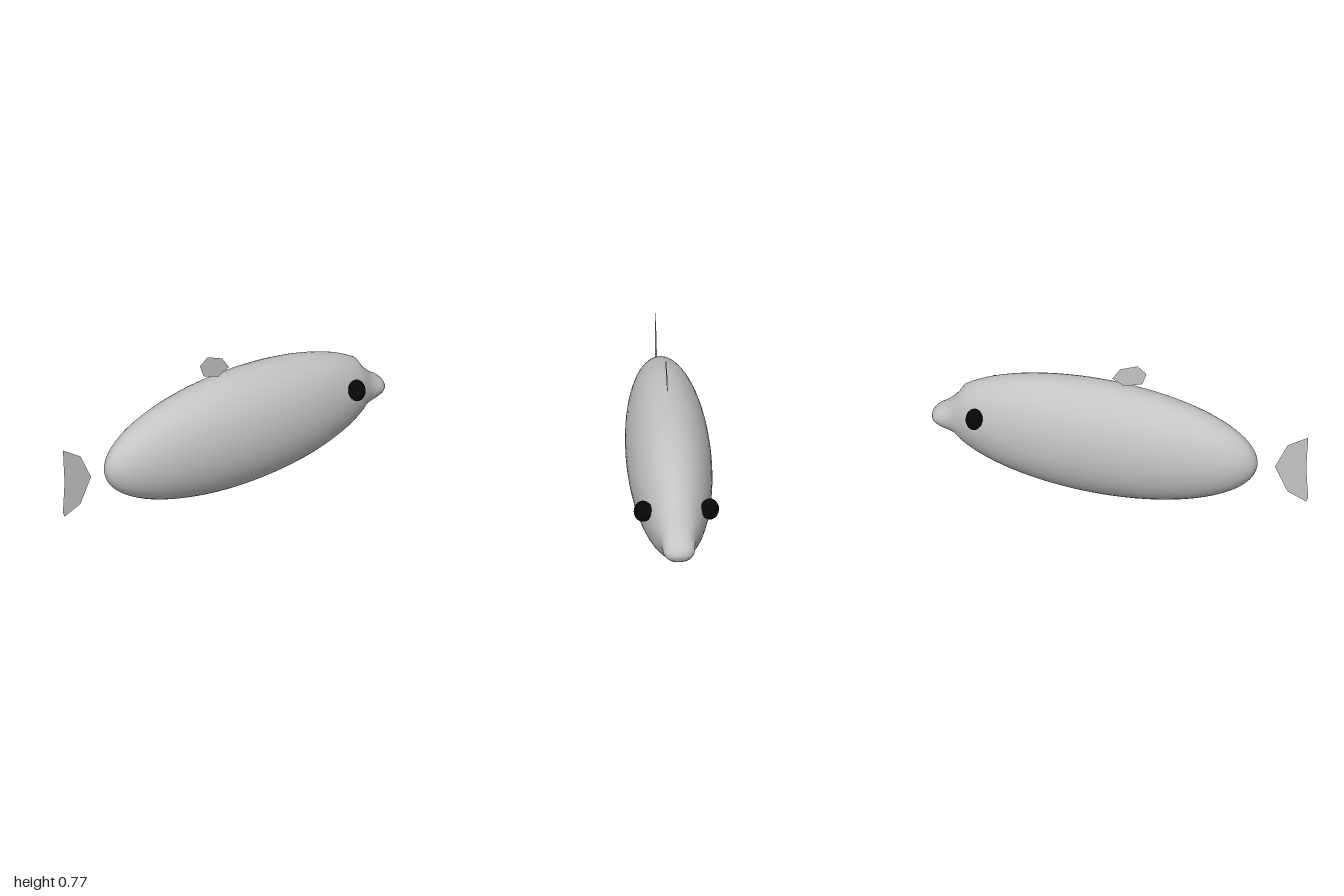
import * as THREE from 'three';

const skin = new THREE.MeshStandardMaterial({ color: 0xc4c4c4, side: THREE.DoubleSide });
skin.name = 'grey skin';
const black = new THREE.MeshStandardMaterial({ color: 0x080808 });
black.name = 'black';

// Smooth loft through elliptical rings [z, centreY, radiusY, radiusX], from tail to snout
function loft(rings, sides) {
  const pos = [], index = [];
  rings.forEach(([z, cy, ry, rx], i) => {
    for (let j = 0; j < sides; j++) {
      const a = (j / sides) * Math.PI * 2;
      pos.push(Math.cos(a) * rx, cy + Math.sin(a) * ry, z);
      if (i === rings.length - 1) continue;
      const p = i * sides + j, q = i * sides + ((j + 1) % sides);
      index.push(p, p + sides, q, q, p + sides, q + sides);
    }
  });
  const g = new THREE.BufferGeometry();
  g.setAttribute('position', new THREE.Float32BufferAttribute(pos, 3));
  g.setIndex(index);
  g.computeVertexNormals();
  return g;
}

// Flat fin in the x = 0 plane from [z, y] corners
function fin(name, corners) {
  const shape = new THREE.Shape(corners.map(([z, y]) => new THREE.Vector2(-z, y)));
  const mesh = new THREE.Mesh(new THREE.ShapeGeometry(shape).rotateY(Math.PI / 2), skin);
  mesh.name = name;
  return mesh;
}

export function createModel() {
  const model = new THREE.Group();
  model.name = 'fish';

  // Body: half-ellipsoid rear running into a small drooping snout
  const rings = [];
  const steps = 36;
  for (let i = 0; i <= steps; i++) {
    const t = (i / steps) * 2.62;
    const r = Math.max(Math.sin(t), 0.0001);
    rings.push([-0.11 + 0.837 * Math.cos(t), 0.316, 0.314 * r, 0.215 * r]);
  }
  rings.push(
    [-0.87, 0.306, 0.113, 0.091],
    [-0.9, 0.296, 0.091, 0.085],
    [-0.925, 0.288, 0.075, 0.082],
    [-0.945, 0.285, 0.063, 0.08],
    [-0.965, 0.283, 0.053, 0.074],
    [-0.985, 0.281, 0.037, 0.058],
    [-0.996, 0.281, 0.021, 0.036],
    [-1, 0.281, 0.0001, 0.0001],
  );
  const body = new THREE.Mesh(loft(rings, 48), skin);
  body.name = 'body';
  model.add(body);

  // Eyes
  for (const side of [1, -1]) {
    const eye = new THREE.Mesh(new THREE.SphereGeometry(1, 16, 12), black);
    eye.name = side > 0 ? 'leftEye' : 'rightEye';
    eye.scale.set(0.047, 0.057, 0.043);
    eye.position.set(side * 0.169, 0.391, -0.725);
    model.add(eye);
  }

  // Fins
  model.add(fin('tailFin', [
    [1, 0.533], [0.89, 0.464], [0.823, 0.325], [0.89, 0.19], [0.99, 0.149], [1, 0.176], [0.99, 0.347],
  ]));
  model.add(fin('dorsalFin', [
    [0.137, 0.736], [0.09, 0.773], [-0.003, 0.736], [-0.045, 0.672], [0.02, 0.64], [0.115, 0.672],
  ]));
  return model;
}
